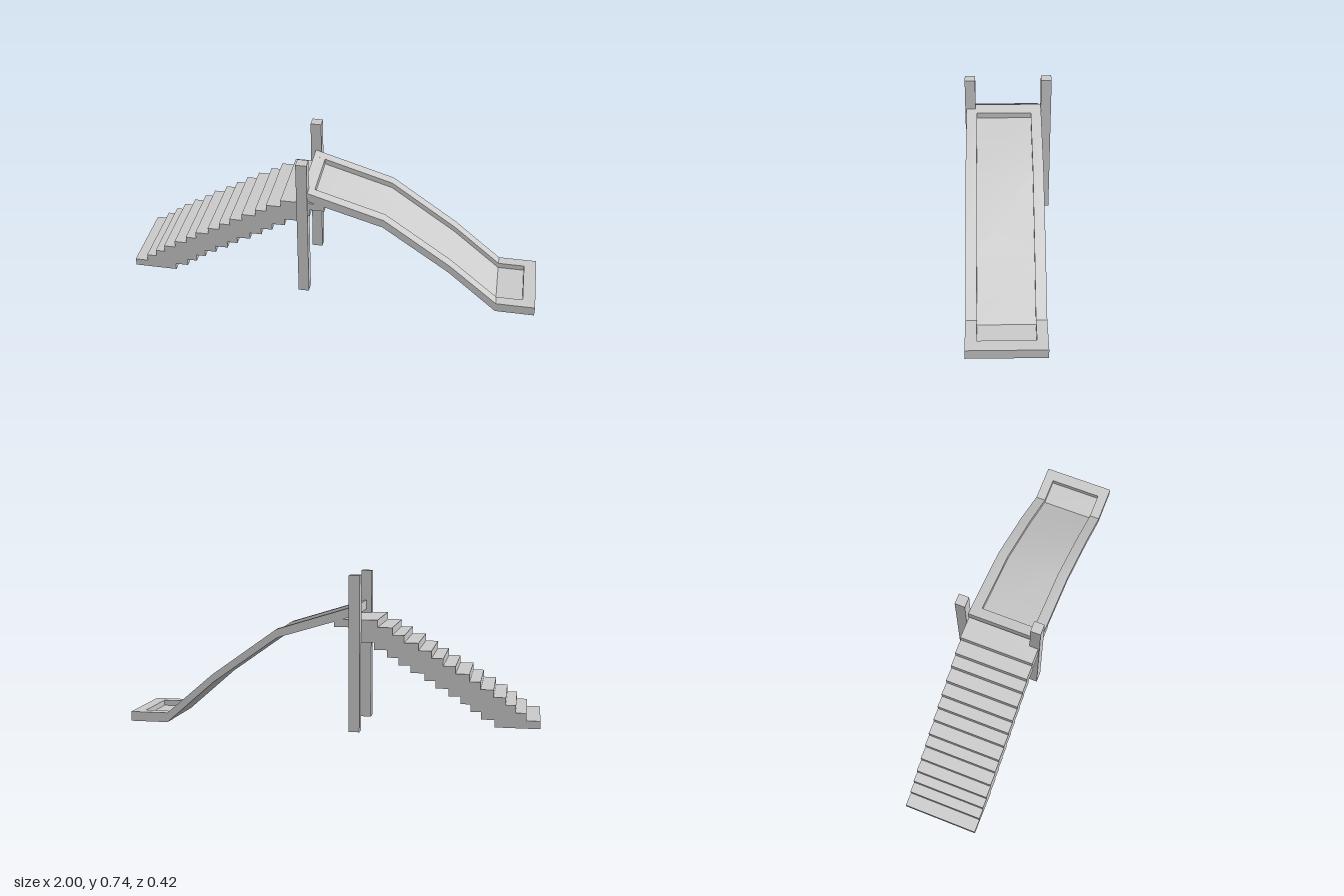
import * as THREE from 'three';
import { toCreasedNormals } from 'three/addons/utils/BufferGeometryUtils.js';

export function createModel() {
  const model = new THREE.Group();
  const material = new THREE.MeshStandardMaterial({ color: 0xcccccc });

  const add = (parent, name, geometry, x = 0, y = 0, z = 0) => {
    const mesh = new THREE.Mesh(geometry, material);
    mesh.name = name;
    mesh.position.set(x, y, z);
    parent.add(mesh);
  };

  // Side profile in x/y, extruded from z0 to z1, smooth over the gentle bends
  const extrudeProfile = (points, z0, z1) => {
    const shape = new THREE.Shape(points.map(([x, y]) => new THREE.Vector2(x, y)));
    const geometry = new THREE.ExtrudeGeometry(shape, { depth: z1 - z0, bevelEnabled: false });
    geometry.translate(0, 0, z0);
    return toCreasedNormals(geometry, Math.PI / 6);
  };

  const zBack = -0.16, zFront = 0.203;

  // Stairs: overlapping treads, each one thickness above the last
  const stairs = new THREE.Group();
  stairs.name = 'stairs';
  const treadStarts = [-1, -0.936, -0.887, -0.84, -0.783, -0.722, -0.67,
    -0.605, -0.547, -0.492, -0.43, -0.363, -0.307, -0.237];
  const treadLength = 0.21, treadHeight = 0.037, rise = 0.035;
  treadStarts.forEach((x, i) => {
    add(stairs, 'tread', new THREE.BoxGeometry(treadLength, treadHeight, zFront - zBack),
      x + treadLength / 2, 0.039 + i * rise + treadHeight / 2, (zFront + zBack) / 2);
  });
  model.add(stairs);

  // Posts on both sides of the top
  for (const side of [-1, 1]) {
    add(model, side > 0 ? 'frontPost' : 'backPost',
      new THREE.BoxGeometry(0.052, 0.743, 0.05), -0.133, 0.3715, side * 0.184);
  }

  // Slide: two side rails around a bed with a sunken floor
  const slide = new THREE.Group();
  slide.name = 'slide';
  const underside = [[1, 0], [0.812, 0], [0.572, 0.209], [0.25, 0.436], [-0.134, 0.55]];
  const bends = [[0.255, 0.476], [0.577, 0.247], [0.812, 0.047]];
  const topStart = [-0.134, 0.596], topEnd = [1, 0.047];
  const recessStart = [-0.08, 0.579], recessEnd = [0.94, 0.047];
  const sink = ([x, y]) => [x, y - 0.027];
  const railProfile = [...underside, topStart, ...bends, topEnd];
  const bedProfile = [...underside, topStart, recessStart,
    ...[recessStart, ...bends, recessEnd].map(sink), recessEnd, topEnd];
  add(slide, 'frontRail', extrudeProfile(railProfile, 0.152, zFront));
  add(slide, 'backRail', extrudeProfile(railProfile, zBack, -0.11));
  add(slide, 'bed', extrudeProfile(bedProfile, -0.11, 0.152));
  model.add(slide);

  return model;
}
